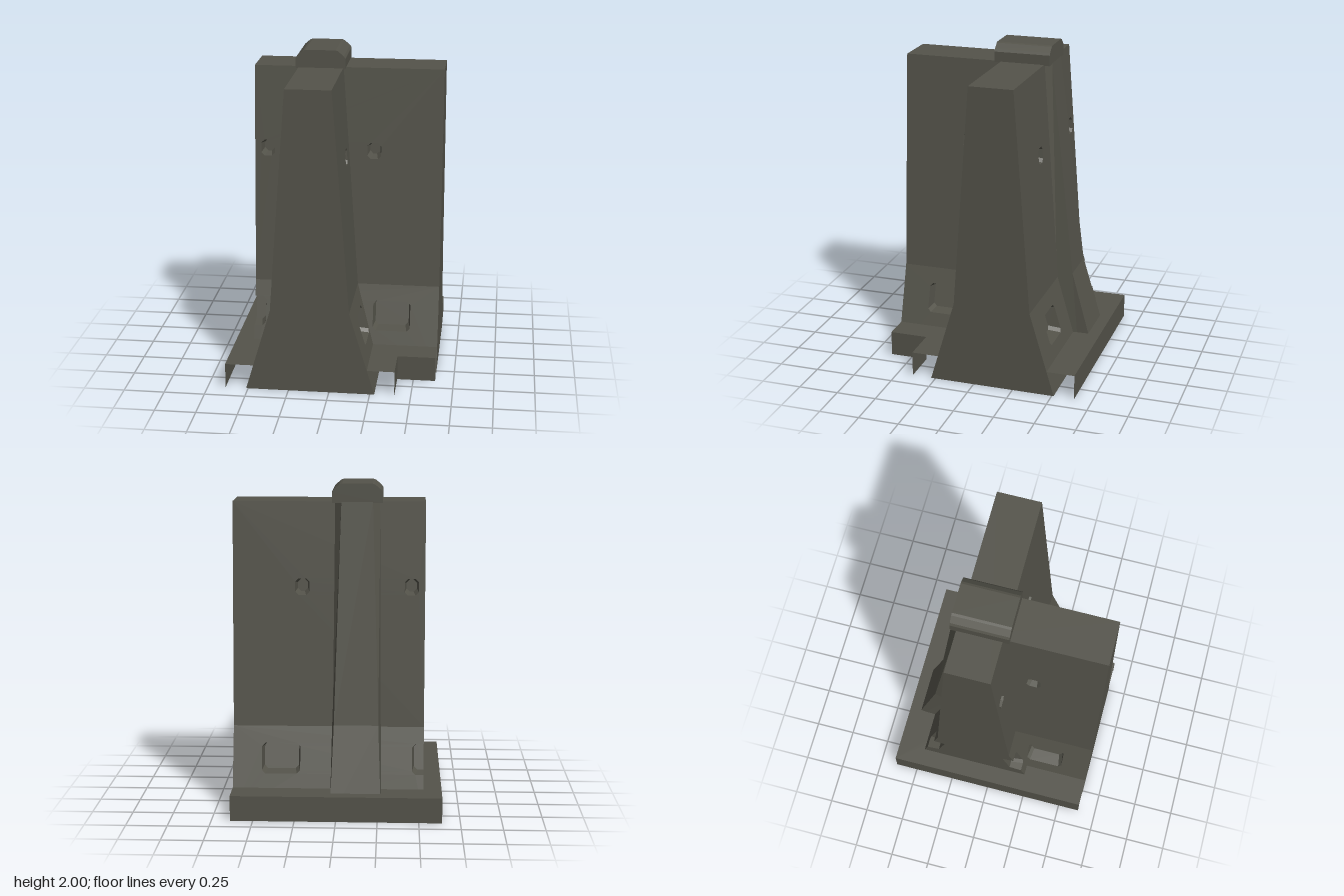
import * as THREE from 'three';

const C = -0.117; // both walls are centred on this line
const FOLD = 0.52, TOP = 1.89, DEPTH = 0.075;
const U0 = -0.53, U1 = 0.637;

// half thickness of a wall at a height
const half = (y) => y < FOLD
  ? THREE.MathUtils.mapLinear(y, 0, FOLD, 0.395, 0.24)
  : THREE.MathUtils.mapLinear(y, FOLD, TOP, 0.24, 0.137);

const shapeOf = (pts) => new THREE.Shape(pts.map(([x, y]) => new THREE.Vector2(x, y)));

// rectangle with clipped corners
const clipped = (a, b, c, d, r = 0.02) => [
  [a + r, c], [b - r, c], [b, c + r], [b, d - r], [b - r, d], [a + r, d], [a, d - r], [a, c + r]];

// smaller outline for the bottom of a recess
const shrink = (pts, cu, cy, t = 0.012) => pts.map(([u, y]) => [
  u - Math.sign(u - cu) * t, y - Math.sign(y - cy) * t]);

function fromTriangles(p) {
  const g = new THREE.BufferGeometry();
  g.setAttribute('position', new THREE.Float32BufferAttribute(p, 3));
  g.computeVertexNormals();
  return g;
}

// lay a flat shape on the sloping wall face, on side s
function onWall(shape, s, inset = 0) {
  const p = new THREE.ShapeGeometry(shape).toNonIndexed().attributes.position;
  const out = [];
  for (let i = 0; i < p.count; i += 3) {
    for (const k of s > 0 ? [0, 1, 2] : [0, 2, 1]) {
      const y = p.getY(i + k);
      out.push(p.getX(i + k), y, s * (half(y) - inset));
    }
  }
  return fromTriangles(out);
}

// inner sides of a recess, from its outline to the smaller one
function recessSides(pts, inner, s, closed) {
  const out = [];
  const n = closed ? pts.length : pts.length - 1;
  for (let i = 0; i < n; i++) {
    const j = (i + 1) % pts.length;
    const at = ([u, y], d) => [u, y, s * (half(y) - d)];
    const q = [at(pts[i], 0), at(pts[j], 0), at(inner[j], DEPTH), at(inner[i], DEPTH)];
    for (const k of s > 0 ? [0, 1, 2, 0, 2, 3] : [0, 2, 1, 0, 3, 2]) out.push(...q[k]);
  }
  return fromTriangles(out);
}

export function createModel() {
  const model = new THREE.Group();
  const concrete = new THREE.MeshStandardMaterial({ color: 0x54534a, side: THREE.DoubleSide });
  concrete.name = 'concrete';

  const add = (parent, name, geo) => {
    const m = new THREE.Mesh(geo, concrete);
    m.name = name;
    parent.add(m);
  };

  function wall(name, u0, mirrored) {
    const g = new THREE.Group();
    g.name = name;
    const uppers = [[0.172, 0.258, 1.325, 1.425]];
    const lowers = [[0.225, 0.46, 0.24, 0.42]];
    if (mirrored) uppers.push([2 * C - 0.258, 2 * C - 0.172, 1.325, 1.425]);
    // recess cut open by the short end
    const e = 2 * C - 0.225;
    const notch = mirrored ? [[u0, 0.24], [e - 0.02, 0.24], [e, 0.26], [e, 0.4], [e - 0.02, 0.42], [u0, 0.42]] : [];
    const notchBack = shrink(notch, u0, 0.33);

    for (const s of [1, -1]) {
      const lower = shapeOf([[u0, 0], [U1, 0], [U1, FOLD], [u0, FOLD], ...[...notch].reverse()]);
      const upper = shapeOf([[u0, FOLD], [U1, FOLD], [U1, TOP], [u0, TOP]]);
      for (const [face, list] of [[lower, lowers], [upper, uppers]]) {
        for (const [a, b, c, d] of list) {
          const pts = clipped(a, b, c, d);
          const back = shrink(pts, (a + b) / 2, (c + d) / 2);
          face.holes.push(shapeOf(pts));
          add(g, 'recessSides', recessSides(pts, back, s, true));
          add(g, 'recessBack', onWall(shapeOf(back), s, DEPTH));
        }
        add(g, 'wallFace', onWall(face, s));
      }
      if (mirrored) {
        add(g, 'notchSides', recessSides(notch, notchBack, s, false));
        add(g, 'notchBack', onWall(shapeOf(notchBack), s, DEPTH));
      }
    }

    // end faces
    const profile = (cut) => {
      const side = [[half(0), 0]];
      if (cut) {
        side.push([half(0.24), 0.24], [half(0.252) - DEPTH, 0.252],
          [half(0.408) - DEPTH, 0.408], [half(0.42), 0.42]);
      }
      side.push([half(FOLD), FOLD], [half(TOP), TOP]);
      return shapeOf([...side, ...[...side].reverse().map(([w, y]) => [-w, y])]);
    };
    add(g, 'wallEnd', new THREE.ShapeGeometry(profile(false)).rotateY(Math.PI / 2).translate(U1, 0, 0));
    if (mirrored) {
      add(g, 'shortEnd', new THREE.ShapeGeometry(profile(true)).rotateY(-Math.PI / 2).translate(u0, 0, 0));
    }
    // top
    add(g, 'wallTop', new THREE.PlaneGeometry(U1 - u0, 2 * half(TOP)).rotateX(-Math.PI / 2)
      .translate((u0 + U1) / 2, TOP, 0));
    model.add(g);
    return g;
  }

  wall('sideWall', U0, true).position.z = C;
  const frontWall = wall('frontWall', C, false);
  frontWall.rotation.y = -Math.PI / 2;
  frontWall.position.x = C;

  // tapering rib on the back: outer height, z and half width, then inner height and half width
  const levels = [[0, -0.61, 0.156, 0, 0.158], [0.55, -0.45, 0.135, FOLD, 0.15], [TOP, -0.29, 0.095, TOP, 0.139]];
  const row = ([y, z, a, yi, b]) => {
    const zi = C - half(yi) + 0.005;
    return [[C + b, yi, zi], [C + a, y, z], [C - a, y, z], [C - b, yi, zi]];
  };
  const rib = [];
  for (let i = 0; i < 2; i++) {
    const [lo, hi] = [row(levels[i]), row(levels[i + 1])];
    for (let k = 0; k < 3; k++) {
      rib.push(...lo[k], ...lo[k + 1], ...hi[k + 1], ...lo[k], ...hi[k + 1], ...hi[k]);
    }
  }
  add(model, 'backRib', fromTriangles(rib));

  // chamfered cap over the crossing
  const cap = shapeOf([[-0.27, 1.885], [0.035, 1.885], [0.035, 1.95], [0.025, 1.965], [-0.01, 1.995],
    [-0.025, 2], [-0.21, 2], [-0.225, 1.995], [-0.26, 1.965], [-0.27, 1.95]]);
  add(model, 'cap', new THREE.ExtrudeGeometry(cap, { depth: 0.35, bevelEnabled: false }).translate(0, 0, -0.29));

  // base: a thin top with one corner cut away; shape y runs towards the back
  const SLAB = 0.155;
  const outline = [[0.4, -0.637], [0.4, -0.4], [0.637, -0.4], [0.637, 0.64], [-0.64, 0.64], [-0.64, -0.637]];
  add(model, 'baseTop', new THREE.ShapeGeometry(shapeOf(outline)).rotateX(-Math.PI / 2).translate(0, SLAB, 0));

  // skirts hang from the base edges, except where the wall ends stand
  for (const i of [0, 1, 3, 4]) {
    const [[ax, ay], [bx, by]] = [outline[i], outline[i + 1]];
    const [a, b, c, d] = [[ax, 0, -ay], [bx, 0, -by], [bx, SLAB, -by], [ax, SLAB, -ay]];
    add(model, 'baseSkirt', fromTriangles([...a, ...b, ...c, ...a, ...c, ...d]));
  }

  return model;
}
